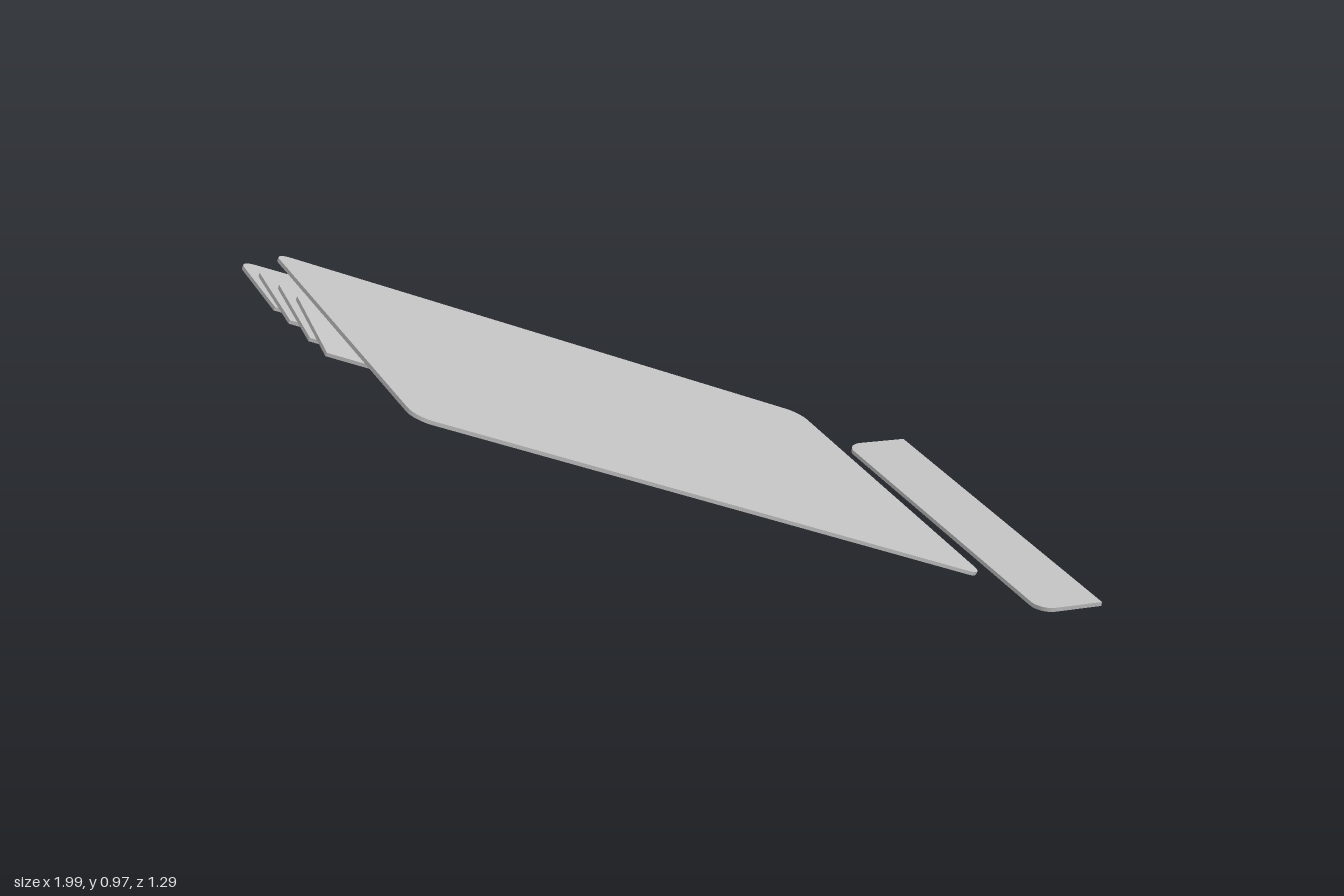
import * as THREE from 'three';

const gray = new THREE.MeshStandardMaterial({ color: 0xc0c0c0 });
gray.name = 'light gray';

// Outline with an individual radius per corner: front left, front right, back right, back left
function outline(w, d, [fl, fr, br, bl]) {
  const s = new THREE.Shape();
  s.moveTo(fl, 0);
  s.lineTo(w - fr, 0);
  if (fr) s.absarc(w - fr, fr, fr, -Math.PI / 2, 0);
  s.lineTo(w, d - br);
  if (br) s.absarc(w - br, d - br, br, 0, Math.PI / 2);
  s.lineTo(bl, d);
  if (bl) s.absarc(bl, d - bl, bl, Math.PI / 2, Math.PI);
  s.lineTo(0, fl);
  if (fl) s.absarc(fl, fl, fl, Math.PI, Math.PI * 1.5);
  return s;
}

// Thin tilted plate from its lower front left corner, its width vector and its depth vector
function plate(name, corner, across, back, thickness, radii) {
  const u = new THREE.Vector3(...across);
  const v = new THREE.Vector3(...back);
  const w = u.length();
  u.normalize();
  v.addScaledVector(u, -v.dot(u));
  const d = v.length();
  v.normalize();
  const n = new THREE.Vector3().crossVectors(u, v);
  const geo = new THREE.ExtrudeGeometry(outline(w, d, radii), {
    depth: thickness, bevelEnabled: false, curveSegments: 6,
  });
  geo.applyMatrix4(new THREE.Matrix4().makeBasis(u, v, n).setPosition(...corner));
  const mesh = new THREE.Mesh(geo, gray);
  mesh.name = name;
  return mesh;
}

export function createModel() {
  const model = new THREE.Group();
  model.name = 'fannedPanels';

  // Large upper panel
  model.add(plate('mainPanel', [-0.989, 0.881, 0.643], [1.585, -0.719, -0.01],
    [0.03, 0.085, -1.077], 0.01, [0.05, 0.05, 0.05, 0.05]));

  // Fanned strips beneath it: front z, right end height, rise to the back, depth
  const strips = [
    [0.075, 0.14, 0.065, 0.325],
    [-0.05, 0.147, 0.056, 0.33],
    [-0.2, 0.157, 0.046, 0.325],
    [-0.317, 0.165, 0.03, 0.33],
  ];
  strips.forEach(([z, y, rise, depth], i) => {
    model.add(plate('understrip' + (i + 1), [-1, 0.857, z], [1.582, y - 0.857, 0],
      [rise * 0.45, rise, -depth], 0.01, [0, 0, 0.05, 0.05]));
  });

  // Separate narrow panel, rounded on its inner side
  model.add(plate('sidePanel', [0.782, 0.022, 0.632], [0.198, -0.017, 0],
    [0.017, 0.094, -1.077], 0.012, [0.05, 0, 0, 0.05]));

  return model;
}
